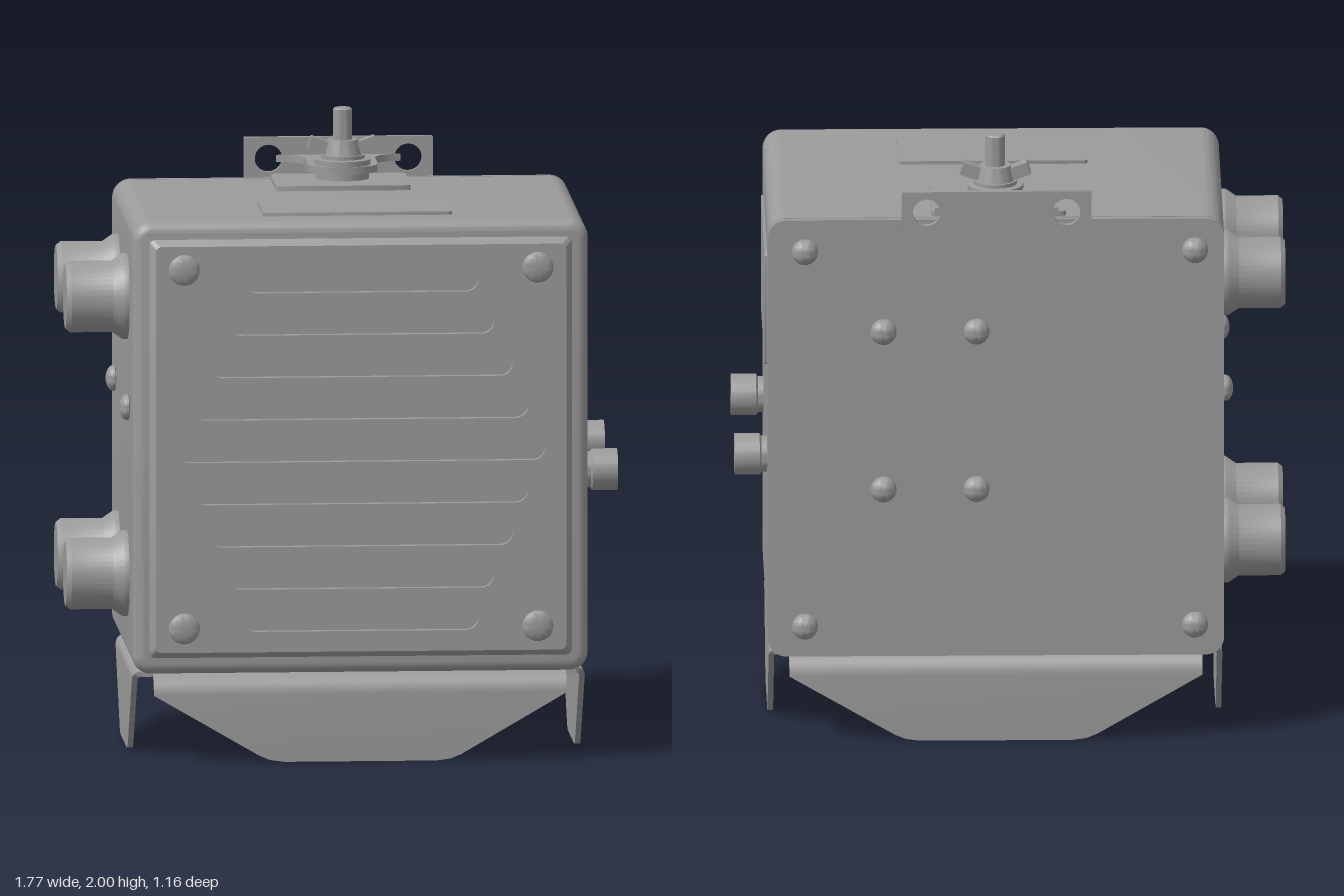
import * as THREE from 'three';
import { toCreasedNormals } from 'three/addons/utils/BufferGeometryUtils.js';

const CX = 0.048, CY = 1.021;
const grey = new THREE.MeshStandardMaterial({ color: 0x9b9b9b });
const sheet = new THREE.MeshStandardMaterial({ color: 0x9b9b9b, side: THREE.DoubleSide });

function roundRect(cx, cy, hw, hh, r, Type = THREE.Shape) {
  const s = new Type();
  s.absarc(cx + hw - r, cy + hh - r, r, 0, Math.PI / 2);
  s.absarc(cx - hw + r, cy + hh - r, r, Math.PI / 2, Math.PI);
  s.absarc(cx - hw + r, cy - hh + r, r, Math.PI, Math.PI * 1.5);
  s.absarc(cx + hw - r, cy - hh + r, r, Math.PI * 1.5, Math.PI * 2);
  s.closePath();
  return s;
}

// Extrudes a shape along +z from z0 to z1, optionally with rounded edges
function extrude(shape, z0, z1, bevel = 0) {
  const g = new THREE.ExtrudeGeometry(shape, {
    depth: z1 - z0 - 2 * bevel, curveSegments: 10, bevelEnabled: bevel > 0,
    bevelThickness: bevel, bevelSize: bevel, bevelOffset: -bevel, bevelSegments: 6,
  });
  return g.translate(0, 0, z0 + bevel);
}

export function createModel() {
  const model = new THREE.Group();
  const add = (name, geometry, material = grey) => {
    const m = new THREE.Mesh(toCreasedNormals(geometry, 0.6), material);
    m.name = name;
    model.add(m);
    return m;
  };
  const up = new THREE.Vector3(0, 1, 0);
  // Turned part: profile of [radius, height], standing at pos along dir
  const turned = (name, profile, pos, dir = [0, 1, 0], seg = 40) => {
    const m = add(name, new THREE.LatheGeometry(profile.map(p => new THREE.Vector2(...p)), seg));
    m.position.set(...pos);
    m.quaternion.setFromUnitVectors(up, new THREE.Vector3(...dir));
    return m;
  };
  // Domed screw head on a short straight rim
  const screw = (name, r, h, pos, dir) => {
    const profile = [[r * 0.8, 0], [r, 0.004], [r, h * 0.25]];
    for (let i = 1; i <= 6; i++) {
      const a = i / 6 * Math.PI / 2;
      profile.push([i === 6 ? 0 : r * Math.cos(a), h * (0.25 + 0.75 * Math.sin(a))]);
    }
    turned(name, profile, pos, dir, 28);
  };

  // Housing: straight shell, rounded front edge and rear lid
  const outline = () => roundRect(CX, CY, 0.734, 0.734, 0.06);
  add('housing', extrude(outline(), -0.47, 0.49));
  add('housingFront', extrude(outline(), 0.455, 0.53, 0.035));
  add('lidGasket', extrude(roundRect(CX, CY, 0.715, 0.715, 0.05), -0.48, -0.465));
  add('rearLid', extrude(outline(), -0.495, -0.477));

  // Front panel with louvre slots, its outer edge sloping in towards the front
  const panel = roundRect(CX, CY, 0.682, 0.68, 0.02);
  const slotHalf = [0.595, 0.54, 0.49, 0.43, 0.38];
  for (let i = -4; i <= 4; i++) {
    panel.holes.push(roundRect(CX, CY + i * 0.1375, slotHalf[Math.abs(i)], 0.043, 0.0425, THREE.Path));
  }
  const panelGeometry = extrude(panel, 0.529, 0.557);
  const p = panelGeometry.attributes.position;
  for (let i = 0; i < p.count; i++) {
    const dx = p.getX(i) - CX, dy = p.getY(i) - CY;
    if (p.getZ(i) > 0.55 && Math.max(Math.abs(dx), Math.abs(dy)) > 0.65) {
      p.setXY(i, CX + dx * 0.97, CY + dy * 0.97);
    }
  }
  add('frontPanel', panelGeometry);
  add('panelBacking', new THREE.BoxGeometry(1.32, 1.32, 0.02)).position.set(CX, CY, 0.521);
  for (const s of [-1, 1]) for (const y of [0.44, 1.605]) {
    screw('frontScrew', 0.05, 0.022, [CX + s * 0.57, y, 0.555], [0, 0, 1]);
  }

  // Rear screws: lid corners and an inner square
  for (const [xs, ys] of [[[-0.592, 0.663], [0.39, 1.65]], [[0.111, 0.41], [0.85, 1.38]]]) {
    for (const x of xs) for (const y of ys) screw('rearScrew', 0.042, 0.042, [x, y, -0.494], [0, 0, -1]);
  }

  // Right side: four cable connectors and two screws
  const connector = [[0.138, 0], [0.138, 0.016], [0.115, 0.05], [0.115, 0.185], [0.103, 0.2], [0, 0.2]];
  for (const y of [0.58, 1.48]) for (const z of [-0.194, 0.256]) {
    turned('connector', connector, [-0.687, y, z], [-1, 0, 0]);
  }
  for (const z of [-0.325, 0.345]) screw('sideScrew', 0.042, 0.033, [-0.685, 1.132, z], [-1, 0, 0]);

  // Left side: two hollow studs and a rating plate
  const stud = [[0.058, 0], [0.058, 0.02], [0.067, 0.026], [0.067, 0.107], [0.033, 0.107], [0.033, 0.05], [0, 0.05]];
  for (const z of [-0.315, 0.336]) turned('stud', stud, [0.78, 0.915, z], [1, 0, 0]);
  add('sidePlate', extrude(roundRect(0, 1.402, 0.32, 0.19, 0.015), 0.775, 0.79).rotateY(Math.PI / 2))
    .position.z = 0.005;

  // Top: thin plates, drawn in x and z
  const flat = (name, shape, y0, y1) =>
    add(name, extrude(shape, 0, y1 - y0).rotateX(Math.PI / 2)).position.y = y1;
  flat('topPlate', roundRect(CX, 0.253, 0.305, 0.144, 0.015), 1.75, 1.766);
  flat('mountingPad', roundRect(0.039, -0.316, 0.217, 0.145, 0.015), 1.75, 1.771);

  // Bracket: tongue with a round end flaring into an upright plate with two holes
  const BZ = -0.355;
  const tongue = new THREE.Shape();
  tongue.moveTo(CX - 0.2, -0.57);
  tongue.lineTo(CX + 0.2, -0.57);
  tongue.quadraticCurveTo(CX + 0.113, -0.555, CX + 0.113, -0.48);
  tongue.lineTo(CX + 0.113, BZ);
  tongue.absellipse(CX, BZ, 0.113, 0.093, 0, Math.PI, false, 0);
  tongue.lineTo(CX - 0.113, -0.48);
  tongue.quadraticCurveTo(CX - 0.113, -0.555, CX - 0.2, -0.57);
  flat('bracketTongue', tongue, 1.794, 1.817);
  const upright = roundRect(CX, 1.804, 0.305, 0.071, 0.005);
  for (const s of [-1, 1]) upright.holes.push(roundRect(CX + s * 0.225, 1.806, 0.044, 0.044, 0.0435, THREE.Path));
  add('bracketPlate', extrude(upright, -0.585, -0.566));

  // Bolt, washers and wing nut
  turned('bolt', [[0.031, 0], [0.031, 0.235], [0.026, 0.24], [0, 0.24]], [CX, 1.76, BZ], undefined, 24);
  turned('lowerWasher', [[0, 0], [0.085, 0], [0.085, 0.026], [0, 0.026]], [CX, 1.77, BZ]);
  turned('upperWasher', [[0, 0], [0.09, 0], [0.09, 0.018], [0.07, 0.02], [0.07, 0.032], [0, 0.032]], [CX, 1.816, BZ]);
  turned('wingNut', [[0.062, 0], [0.05, 0.05], [0, 0.05]], [CX, 1.847, BZ]);
  for (const s of [-1, 1]) {
    const wing = add('nutWing', new THREE.BoxGeometry(0.08, 0.042, 0.042));
    wing.position.set(CX + s * 0.07, 1.876, BZ);
    wing.rotation.z = s * 0.33;
  }

  // Base plate with four flaps bent down as legs
  add('basePlate', new THREE.BoxGeometry(1.4, 0.018, 0.866)).position.set(CX, 0.279, 0.017);
  const TOP = 0.288, T = 0.018;
  const flap = (name, reach, R, widths, turn) => {
    const widthAt = y => {
      for (let i = 1; i < widths.length; i++) {
        const [y0, w0] = widths[i - 1], [y1, w1] = widths[i];
        if (y >= y1) return THREE.MathUtils.lerp(w1, w0, Math.min(1, (y - y1) / (y0 - y1)));
      }
    };
    const rows = [];   // outer point, then direction to the inner face
    for (let i = 0; i <= 8; i++) {
      const a = i / 8 * Math.PI / 2;
      rows.push([reach - R + R * Math.sin(a), TOP - R + R * Math.cos(a), Math.sin(a), Math.cos(a)]);
    }
    for (const [y] of widths) if (y < TOP - R - 0.001) rows.push([reach, y, 1, 0]);
    const pos = [], idx = [];
    rows.forEach(([v, y, nv, ny], i) => {
      const w = widthAt(y), vi = v - nv * T, yi = y - ny * T;
      pos.push(-w, y, v, w, y, v, w, yi, vi, -w, yi, vi);
      if (i) for (let k = 0; k < 4; k++) {
        const a = (i - 1) * 4 + k, b = (i - 1) * 4 + (k + 1) % 4;
        idx.push(a, a + 4, b, b, a + 4, b + 4);
      }
    });
    const e = (rows.length - 1) * 4;
    idx.push(e, e + 3, e + 2, e, e + 2, e + 1, 0, 1, 2, 0, 2, 3);
    const g = new THREE.BufferGeometry();
    g.setAttribute('position', new THREE.Float32BufferAttribute(pos, 3));
    g.setIndex(idx);
    const m = add(name, g, sheet);
    m.position.set(CX, 0, 0.017);
    m.rotation.y = turn;
  };
  const wide = [[TOP, 0.665], [0.217, 0.665], [0.02, 0.325], [0.006, 0.29], [0, 0.245]];
  const narrow = [[TOP, 0.43], [0.02, 0.2], [0.006, 0.18], [0, 0.15]];
  flap('frontFlap', 0.507, 0.07, wide, 0);
  flap('rearFlap', 0.507, 0.07, wide, Math.PI);
  flap('leftFlap', 0.73, 0.03, narrow, Math.PI / 2);
  flap('rightFlap', 0.73, 0.03, narrow, -Math.PI / 2);

  return model;
}
